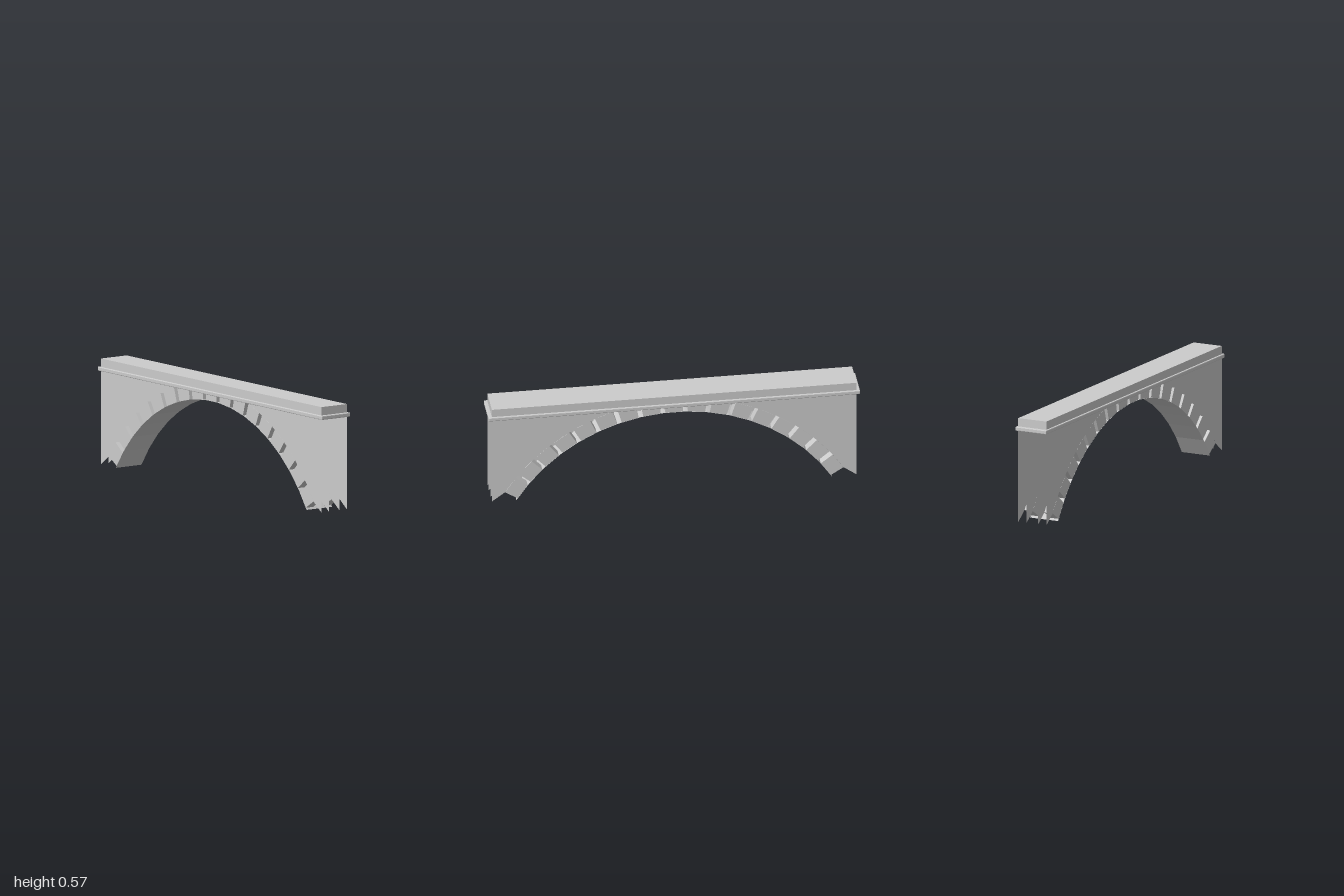
import * as THREE from 'three';
import { RoundedBoxGeometry } from 'three/addons/geometries/RoundedBoxGeometry.js';

const RAD = Math.PI / 180;
const CENTRE_Y = -0.522;            // centre of the arch circle
const INNER = 0.997, OUTER = 1.078; // radii of the arch ring
const PITCH = 6.875 * RAD;          // angle from one arch stone to the next
const STONE_HALF = 2.7 * RAD;
const STONES = 17;
const HALF_WIDTH = 0.085, INNER_Z = 0.035;
const DECK_Y = 0.51;                // underside of the deck, slightly buried

const material = new THREE.MeshStandardMaterial({ color: 0xcccccc, flatShading: true });
const sheet = new THREE.MeshStandardMaterial({ color: 0xcccccc, flatShading: true, side: THREE.DoubleSide });

// Point on the arch circle; angle is measured from the crown
function arcPoint(radius, angle) {
  return new THREE.Vector2(radius * Math.sin(angle), CENTRE_Y + radius * Math.cos(angle));
}

// Outer arch point, cut off level with the deck
function outerPoint(angle) {
  return arcPoint(Math.min(OUTER, (DECK_Y - CENTRE_Y) / Math.cos(angle)), angle);
}

function add(parent, name, geometry, mat = material) {
  const mesh = new THREE.Mesh(geometry, mat);
  mesh.name = name;
  parent.add(mesh);
  return mesh;
}

export function createModel() {
  const bridge = new THREE.Group();
  bridge.name = 'archBridge';

  // Deck block and the projecting moulding round it
  const deck = add(bridge, 'deck', new THREE.BoxGeometry(1.964, 0.066, 2 * HALF_WIDTH));
  deck.position.y = 0.54;
  const cornice = add(bridge, 'cornice', new RoundedBoxGeometry(2, 0.022, 0.19, 1, 0.004));
  cornice.position.y = 0.517;

  // Thin vault under the arch
  const span = STONES * PITCH;
  const vault = new THREE.CylinderGeometry(INNER, INNER, 2 * HALF_WIDTH, STONES, 1, true, -span / 2, span);
  vault.rotateX(-Math.PI / 2);
  add(bridge, 'vault', vault, sheet).position.y = CENTRE_Y;

  // Rows of separate wedge stones along both faces
  for (const side of [1, -1]) {
    const row = new THREE.Group();
    row.name = side > 0 ? 'frontArchStones' : 'backArchStones';
    bridge.add(row);
    for (let i = 0; i < STONES; i++) {
      const mid = (i - (STONES - 1) / 2) * PITCH;
      const a = mid - STONE_HALF, b = mid + STONE_HALF;
      const wedge = new THREE.Shape([arcPoint(INNER, a), arcPoint(INNER, b), outerPoint(b), outerPoint(a)]);
      const stone = new THREE.ExtrudeGeometry(wedge, { depth: HALF_WIDTH - INNER_Z, bevelEnabled: false });
      add(row, 'archStone', stone).position.z = side > 0 ? INNER_Z : -HALF_WIDTH;
    }
  }

  // Open-ended spandrel walls: an outer and an inner sheet on each face
  const top = Math.acos((DECK_Y - CENTRE_Y) / OUTER);
  const foot = 8 * PITCH + STONE_HALF;
  for (const end of [1, -1]) {
    const outline = [new THREE.Vector2(end * 0.982, 0.003), new THREE.Vector2(end * 0.982, DECK_Y)];
    for (let i = 0; i <= 24; i++) {
      outline.push(arcPoint(OUTER, end * (top + (foot - top) * i / 24)));
    }
    const wall = new THREE.ShapeGeometry(new THREE.Shape(outline));
    for (const z of [HALF_WIDTH, INNER_Z, -INNER_Z, -HALF_WIDTH]) {
      // Turn the rear sheets to face backwards
      const geometry = wall.clone();
      if (z < 0) geometry.rotateY(Math.PI);
      add(bridge, 'spandrelWall', geometry, sheet).position.z = z;
    }
  }

  return bridge;
}
